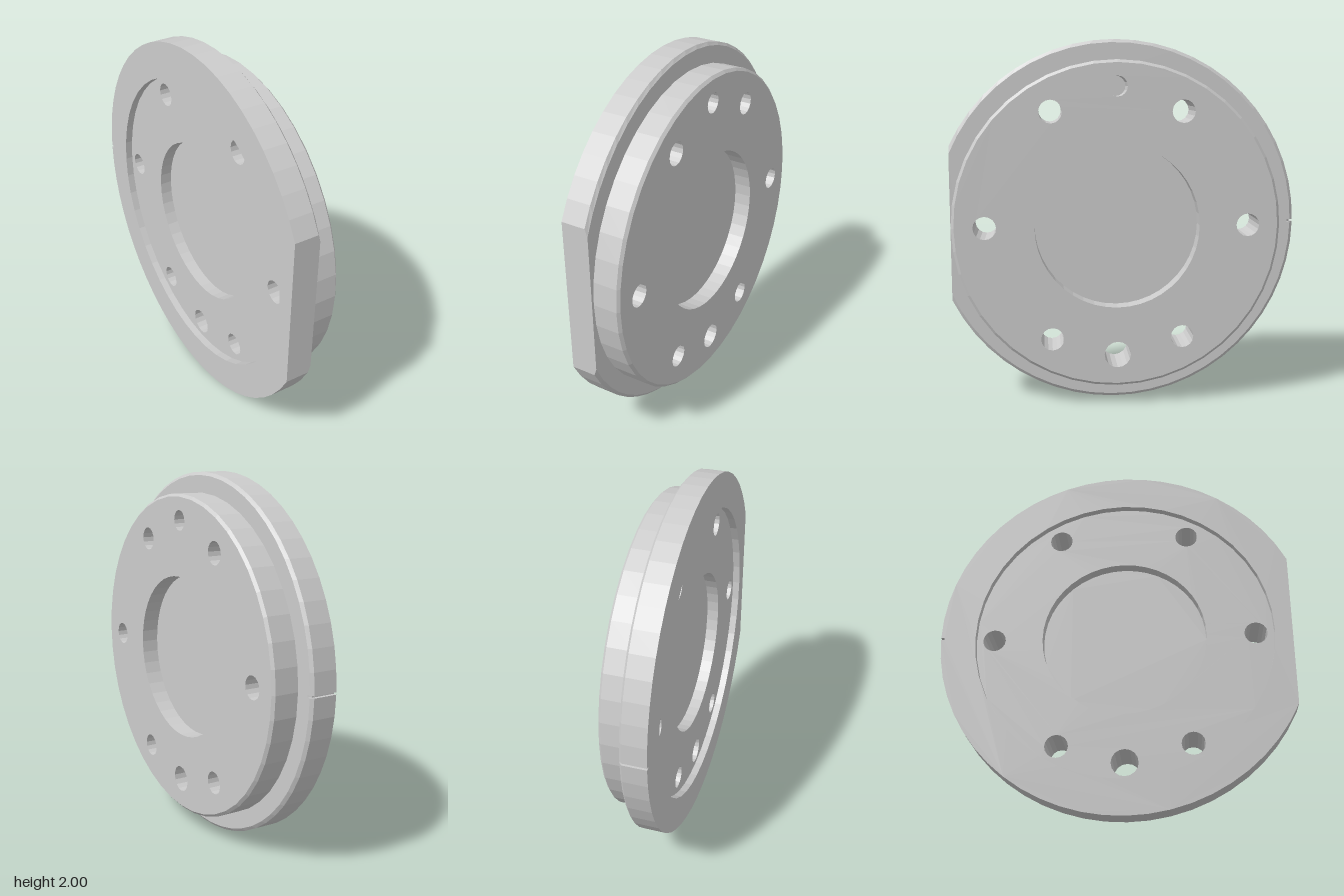
import * as THREE from 'three';

const material = new THREE.MeshStandardMaterial({ color: 0xcccccc, flatShading: true });

// Counter-clockwise circle of points
function circle(r, cx = 0, cy = 0, n = 44) {
  return Array.from({ length: n }, (_, i) => {
    const a = (i / n) * Math.PI * 2;
    return new THREE.Vector2(cx + r * Math.cos(a), cy + r * Math.sin(a));
  });
}

// Flange outline: circle with one flat side and a small notch opposite it
function flangeLoop(r, flat = 0.904, n = 24) {
  const start = Math.acos(flat / r), end = Math.PI - 0.006;
  const half = [];
  for (let i = 0; i <= n; i++) {
    const a = start + ((end - start) * i) / n;
    half.push(new THREE.Vector2(-r * Math.cos(a), -r * Math.sin(a)));
  }
  half.push(new THREE.Vector2(r - 0.018, -0.006));
  const mirrored = half.map(p => new THREE.Vector2(p.x, -p.y)).reverse();
  return [...half, ...mirrored];
}

// Flat face with holes at depth z, seen from +z (dir 1) or -z (dir -1)
function face(loop, holes, z, dir) {
  const shape = new THREE.Shape(loop);
  shape.holes = holes.map(h => new THREE.Path(h));
  const g = new THREE.ShapeGeometry(shape);
  g.translate(0, 0, z);
  if (dir < 0) {
    g.index.array.reverse();
    g.computeVertexNormals();
  }
  return g;
}

// Band joining two matching loops; za < zb faces outward, za > zb inward
function wall(loopA, za, loopB, zb) {
  const pos = [], n = loopA.length;
  for (let i = 0; i < n; i++) {
    const j = (i + 1) % n;
    const a = [loopA[i].x, loopA[i].y, za], b = [loopA[j].x, loopA[j].y, za];
    const c = [loopB[j].x, loopB[j].y, zb], d = [loopB[i].x, loopB[i].y, zb];
    pos.push(...a, ...b, ...c, ...a, ...c, ...d);
  }
  const g = new THREE.BufferGeometry();
  g.setAttribute('position', new THREE.Float32BufferAttribute(pos, 3));
  g.computeVertexNormals();
  return g;
}

export function createModel() {
  const model = new THREE.Group();
  model.name = 'flangedPlate';
  const disc = new THREE.Group();
  disc.name = 'disc';
  disc.rotation.y = Math.PI / 2; // local z becomes the disc axis, +x
  disc.position.set(0, 1, 0.048);
  model.add(disc);

  const add = (name, geometry) => {
    const mesh = new THREE.Mesh(geometry, material);
    mesh.name = name;
    disc.add(mesh);
  };

  // Levels along the axis
  const back = -0.145, backFloor = -0.105, webBack = -0.04;
  const webFront = 0.05, front = 0.145, chamfer = 0.014;

  const flange = flangeLoop(1), flangeEdge = flangeLoop(0.983);
  const boss = circle(0.89), bossEdge = circle(0.875);
  const recess = circle(0.81), bore = circle(0.447);

  // Six bolt holes and one larger hole at the bottom
  const throughHoles = [];
  for (let i = 0; i < 6; i++) {
    const a = (i * Math.PI) / 3;
    throughHoles.push(circle(0.0625, 0.7125 * Math.cos(a), 0.7125 * Math.sin(a), 16));
  }
  throughHoles.push(circle(0.0725, 0, -0.7125, 16));
  const pinHole = circle(0.055, 0, 0.75, 16);

  // Flange
  add('flangeBackFace', face(flange, [recess], back, -1));
  add('flangeRim', wall(flange, back, flange, -chamfer));
  add('flangeChamfer', wall(flange, -chamfer, flangeEdge, 0));
  add('flangeFrontFace', face(flangeEdge, [boss], 0, 1));

  // Raised boss
  add('bossRim', wall(boss, 0, boss, front - chamfer));
  add('bossChamfer', wall(boss, front - chamfer, bossEdge, front));
  add('bossFace', face(bossEdge, [bore, pinHole, ...throughHoles], front, 1));

  // Shallow recess in the back
  add('backRecessWall', wall(recess, backFloor, recess, back));
  add('backRecessFloor', face(recess, [bore, ...throughHoles], backFloor, -1));

  // Central pockets on both sides of the thin web
  add('frontPocketWall', wall(bore, front, bore, webFront));
  add('frontPocketFloor', face(bore, [], webFront, 1));
  add('backPocketWall', wall(bore, webBack, bore, backFloor));
  add('backPocketFloor', face(bore, [], webBack, -1));

  // Hole linings
  throughHoles.forEach(h => add('boltHole', wall(h, front, h, backFloor)));
  add('pinHoleWall', wall(pinHole, front, pinHole, 0));
  add('pinHoleFloor', face(pinHole, [], 0, 1));

  return model;
}
